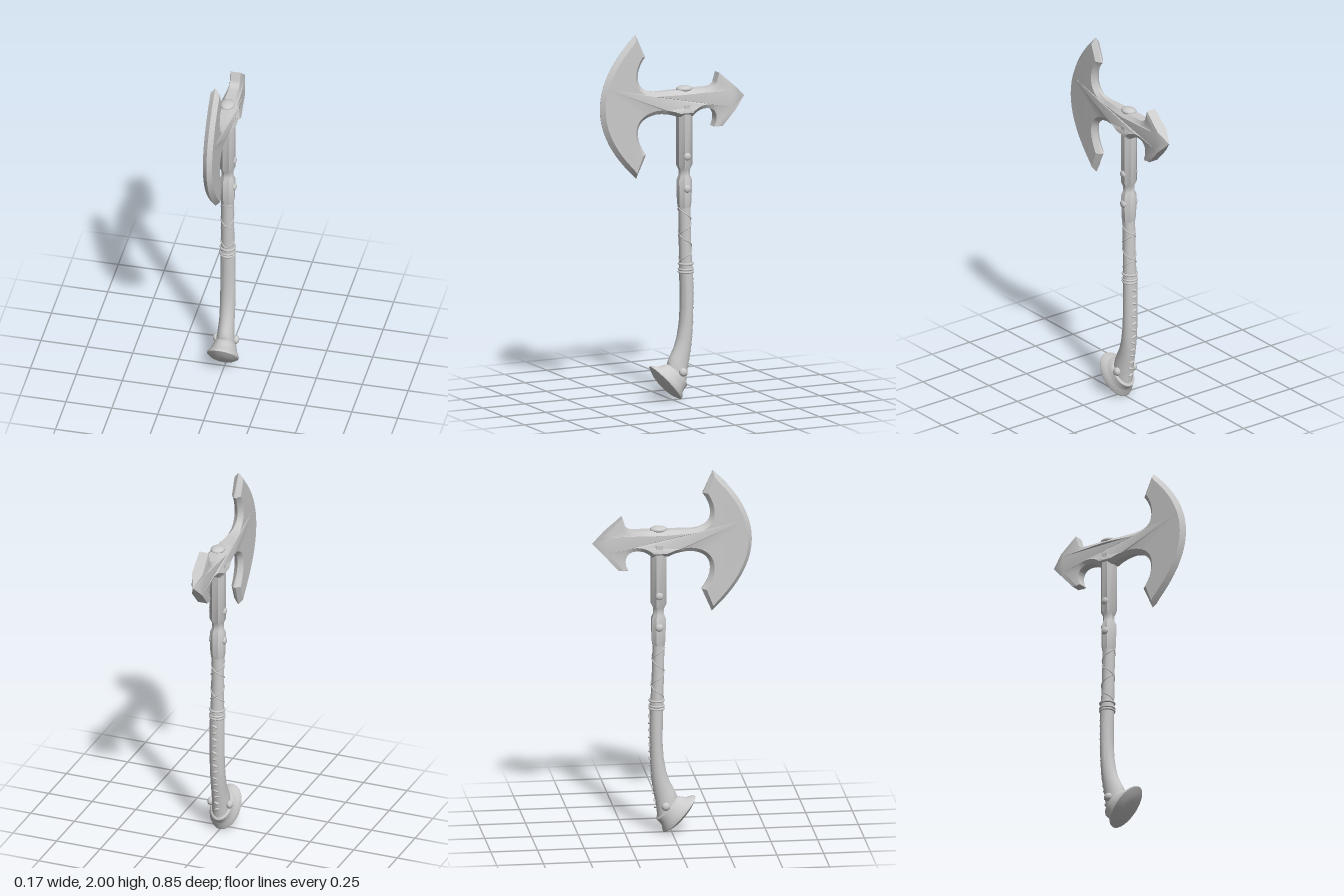
import * as THREE from 'three';
import { toCreasedNormals } from 'three/addons/utils/BufferGeometryUtils.js';

const mat = new THREE.MeshStandardMaterial({ color: 0xcccccc, side: THREE.DoubleSide });

// Piecewise linear lookup in [position, value] pairs
function lookup(table, p) {
  if (p <= table[0][0]) return table[0][1];
  for (let i = 1; i < table.length; i++) {
    const [p0, v0] = table[i - 1], [p1, v1] = table[i];
    if (p <= p1) return v0 + (v1 - v0) * (p - p0) / (p1 - p0);
  }
  return table[table.length - 1][1];
}

// Loft through oval sections [y, z, radiusX, radiusZ, tiltDegrees], from bottom to top
function loft(sections, sides, crease, turn = 0) {
  const pos = [], idx = [], last = sections.length - 1;
  for (const [y, z, rx, rz, tilt = 0] of sections) {
    const t = THREE.MathUtils.degToRad(tilt);
    for (let j = 0; j < sides; j++) {
      const a = (j + turn) / sides * Math.PI * 2, v = rz * Math.sin(a);
      pos.push(rx * Math.cos(a), y + v * Math.sin(t), z + v * Math.cos(t));
    }
  }
  for (let i = 0; i < last; i++) for (let j = 0; j < sides; j++) {
    const k = (j + 1) % sides, a = i * sides, b = a + sides;
    idx.push(a + j, b + j, a + k, b + j, b + k, a + k);
  }
  for (const i of [0, last]) {
    const c = pos.length / 3;
    pos.push(0, sections[i][0], sections[i][1]);
    for (let j = 0; j < sides; j++) {
      const p = i * sides + j, q = i * sides + (j + 1) % sides;
      if (i) idx.push(c, q, p); else idx.push(c, p, q);
    }
  }
  const g = new THREE.BufferGeometry();
  g.setAttribute('position', new THREE.Float32BufferAttribute(pos, 3));
  g.setIndex(idx);
  return toCreasedNormals(g, crease);
}

// Axe head: side outline extruded with a bevel, thickness then varied along z
function headGeometry() {
  const s = new THREE.Shape();
  s.moveTo(0.22, 2);
  s.quadraticCurveTo(0.642, 1.61, 0.215, 1.22);
  s.lineTo(0.16, 1.345);
  s.bezierCurveTo(0.21, 1.41, 0.25, 1.54, 0.1, 1.56);
  s.quadraticCurveTo(0.03, 1.56, -0.02, 1.535);
  s.lineTo(-0.07, 1.535);
  s.lineTo(-0.11, 1.535);
  s.quadraticCurveTo(-0.14, 1.57, -0.19, 1.57);
  s.bezierCurveTo(-0.245, 1.57, -0.265, 1.52, -0.235, 1.465);
  s.lineTo(-0.285, 1.465);
  s.lineTo(-0.36, 1.548);
  s.lineTo(-0.425, 1.615);
  s.lineTo(-0.36, 1.672);
  s.lineTo(-0.265, 1.755);
  s.lineTo(-0.25, 1.705);
  s.quadraticCurveTo(-0.24, 1.68, -0.2, 1.68);
  for (let z = -0.17; z < 0.11; z += 0.03) s.lineTo(z, 1.68);
  s.bezierCurveTo(0.25, 1.69, 0.21, 1.82, 0.165, 1.875);
  const g = new THREE.ExtrudeGeometry(s, {
    depth: 0.02, bevelSize: 0.022, bevelOffset: -0.022, bevelThickness: 0.03,
    bevelSegments: 1, curveSegments: 20,
  });
  g.translate(0, 0, -0.01);
  g.rotateY(-Math.PI / 2);
  const rim = [[-0.425, 0.001], [-0.36, 0.03], [-0.25, 0.026], [-0.07, 0.026], [0.12, 0.014], [0.2, 0.001]];
  const face = [[-0.425, 0.006], [-0.36, 0.032], [-0.25, 0.032], [-0.19, 0.037], [-0.12, 0.047],
    [-0.07, 0.05], [-0.01, 0.045], [0.06, 0.034], [0.16, 0.026], [0.43, 0.025]];
  const p = g.attributes.position;
  for (let i = 0; i < p.count; i++) {
    const x = p.getX(i);
    p.setX(i, Math.sign(x) * lookup(Math.abs(x) < 0.02 ? rim : face, p.getZ(i)));
  }
  g.deleteAttribute('uv');
  return toCreasedNormals(g, 0.45);
}

export function createModel() {
  const root = new THREE.Group();
  root.name = 'battleAxe';
  const add = (name, geometry, x = 0, y = 0, z = 0, scale = [1, 1, 1]) => {
    const m = new THREE.Mesh(geometry, mat);
    m.name = name;
    m.position.set(x, y, z);
    m.scale.set(...scale);
    root.add(m);
    return m;
  };
  const ball = new THREE.SphereGeometry(1, 20, 12);

  add('axeHead', headGeometry());
  add('topCap', ball, 0, 1.682, -0.07, [0.038, 0.018, 0.046]);

  // Upper shaft, eight-sided with a narrow neck
  add('upperShaft', loft([
    [1.04, -0.07, 0.036, 0.034], [1.07, -0.07, 0.041, 0.039], [1.19, -0.07, 0.043, 0.041],
    [1.215, -0.07, 0.032, 0.03], [1.245, -0.07, 0.032, 0.03], [1.27, -0.07, 0.044, 0.043],
    [1.6, -0.07, 0.044, 0.043],
  ], 8, 0.5, 0.5));

  // Wrapped middle shaft
  add('wrappedShaft', loft([
    [0.7, -0.08, 0.037, 0.035], [0.85, -0.074, 0.035, 0.033], [1.05, -0.07, 0.034, 0.032],
  ], 20, 1));

  // Curved grip
  add('grip', loft([
    [0.13, -0.022, 0.05, 0.076, 47], [0.17, -0.028, 0.048, 0.068, 39], [0.21, -0.038, 0.044, 0.058, 29],
    [0.27, -0.057, 0.041, 0.048, 18], [0.33, -0.07, 0.041, 0.042, 10], [0.41, -0.079, 0.041, 0.037, 4],
    [0.5, -0.083, 0.041, 0.035], [0.6, -0.083, 0.041, 0.036], [0.72, -0.08, 0.039, 0.037],
  ], 24, 1));

  // Flared pommel cap with a bulged sole
  add('pommelCap', loft([
    [0.079, 0.058, 0.03, 0.045, 48], [0.086, 0.053, 0.06, 0.09, 48], [0.097, 0.043, 0.083, 0.128, 48],
    [0.103, 0.035, 0.084, 0.125, 48], [0.112, 0.015, 0.072, 0.1, 48], [0.124, -0.005, 0.063, 0.09, 48],
    [0.135, -0.025, 0.058, 0.084, 48], [0.138, -0.03, 0.05, 0.076, 48],
  ], 32, 0.7));

  // Cord bands between grip and wrapping
  for (const y of [0.69, 0.705, 0.735]) {
    const band = add('cordBand', new THREE.TorusGeometry(0.038, 0.006, 8, 28), 0, y, -0.08);
    band.rotation.x = Math.PI / 2;
  }

  // Thin laces crossing around the middle shaft
  for (const dir of [1, -1]) {
    const pts = [];
    for (let i = 0; i <= 40; i++) {
      const t = i / 40, a = dir * t * Math.PI * 4 + Math.PI / 2, r = 0.036 - 0.002 * t;
      pts.push(new THREE.Vector3(r * Math.cos(a), 0.75 + 0.29 * t, -0.078 + 0.008 * t + r * 0.95 * Math.sin(a)));
    }
    add('lace', new THREE.TubeGeometry(new THREE.CatmullRomCurve3(pts), 80, 0.0035, 6));
  }

  // Stitches down the back of the grip
  const back = [[0.12, -0.084], [0.2, -0.091], [0.3, -0.106], [0.4, -0.114], [0.5, -0.117], [0.7, -0.117]];
  for (let i = 0; i < 14; i++) {
    const y = 0.14 + i * 0.039;
    const stitch = add('stitch', ball, 0, y, lookup(back, y), [0.016, 0.006, 0.008]);
    stitch.rotation.z = i % 2 ? 0.35 : -0.35;
  }

  // Side rivets on shaft and pommel
  for (const side of [1, -1]) {
    for (const y of [1.32, 1.145]) add('shaftRivet', ball, side * 0.038, y, -0.07, [0.012, 0.021, 0.021]);
    add('pommelRivet', ball, side * 0.054, 0.157, -0.037, [0.018, 0.023, 0.023]);
  }
  return root;
}
